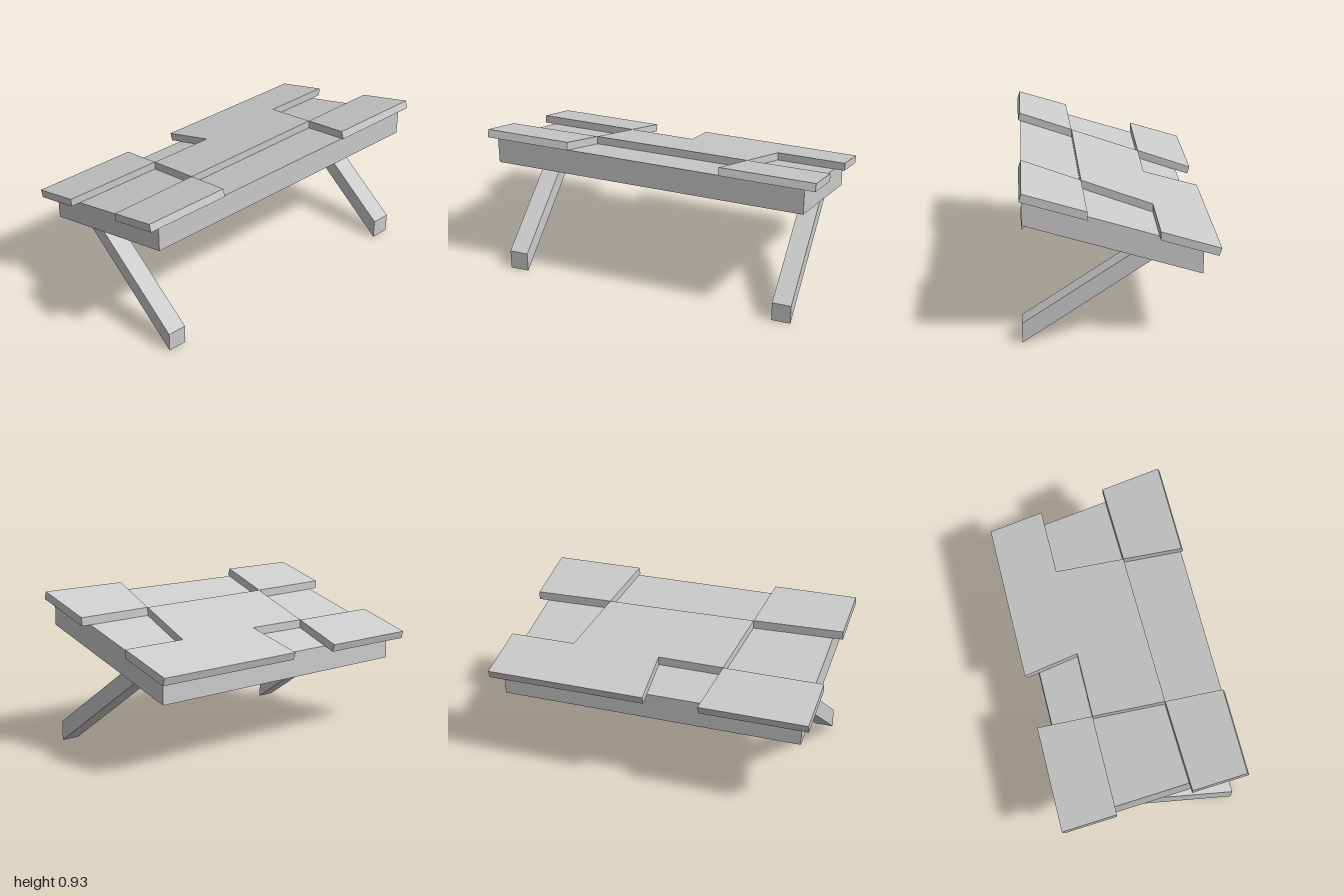
import * as THREE from 'three';

const material = new THREE.MeshStandardMaterial({ color: 0xcccccc, flatShading: true });

// Extrude a closed side profile of [z, y] points from x0 to x1
function sidePrism(name, profile, x0, x1) {
  const shape = new THREE.Shape(profile.map(([z, y]) => new THREE.Vector2(-z, y)));
  const geo = new THREE.ExtrudeGeometry(shape, { depth: x1 - x0, bevelEnabled: false });
  geo.rotateY(Math.PI / 2).translate(x0, 0, 0);
  const mesh = new THREE.Mesh(geo, material);
  mesh.name = name;
  return mesh;
}

// Sloping roof plane
const SLOPE = 0.3165, THICK = 0.05;
const FRONT = 0.54, BACK = -0.55;
const roofY = z => 0.764 + SLOPE * z;

// Slab with an outline of [x, z] points, laid on the slope.
// Inner cuts are vertical, the front and back ends are square to the slope.
function roofPanel(name, outline) {
  const shape = new THREE.Shape(outline.map(([x, z]) => new THREE.Vector2(x, -z)));
  const geo = new THREE.ExtrudeGeometry(shape, { depth: 1, bevelEnabled: false });
  geo.rotateX(-Math.PI / 2);
  const p = geo.attributes.position;
  for (let i = 0; i < p.count; i++) {
    let z = p.getZ(i);
    const bottom = p.getY(i) < 0.5;
    const outerEnd = Math.abs(z - FRONT) < 1e-4 || Math.abs(z - BACK) < 1e-4;
    if (bottom && outerEnd) z += 0.014;
    p.setXYZ(i, p.getX(i), roofY(z) - (bottom ? THICK : 0), z);
  }
  geo.computeVertexNormals();
  const mesh = new THREE.Mesh(geo, material);
  mesh.name = name;
  return mesh;
}

export function createModel() {
  const group = new THREE.Group();
  group.name = 'slopingShelter';

  // Sloping body with vertical front and back
  group.add(sidePrism('body', [
    [0.54, 0.728], [0.54, roofY(0.54) - THICK], [-0.46, roofY(-0.46) - THICK], [-0.46, 0.413],
  ], -0.94, 0.937));

  // Slanted legs reaching forward from the underside
  const leg = [[0.555, 0], [0.555, 0.12], [-0.07, 0.536], [-0.19, 0.498]];
  group.add(sidePrism('leftLeg', leg, 0.785, 0.9));
  group.add(sidePrism('rightLeg', leg, -0.905, -0.79));

  // Raised panels in a checkered layout
  group.add(roofPanel('frontRightPanel', [
    [-1, 0.225], [-0.443, 0.21], [-0.485, FRONT], [-1, FRONT],
  ]));
  group.add(roofPanel('frontLeftPanel', [
    [0.505, 0.197], [1, 0.187], [1, FRONT], [0.44, FRONT],
  ]));
  group.add(roofPanel('backRightPanel', [
    [-1, BACK], [-0.345, BACK], [-0.388, -0.216], [-1, -0.219],
  ]));
  group.add(roofPanel('centreAndBackLeftPanel', [
    [-0.388, -0.216], [0.02, -0.213], [-0.005, BACK], [1, BACK],
    [1, -0.212], [0.58, -0.212], [0.505, 0.197], [-0.443, 0.21],
  ]));

  return group;
}
